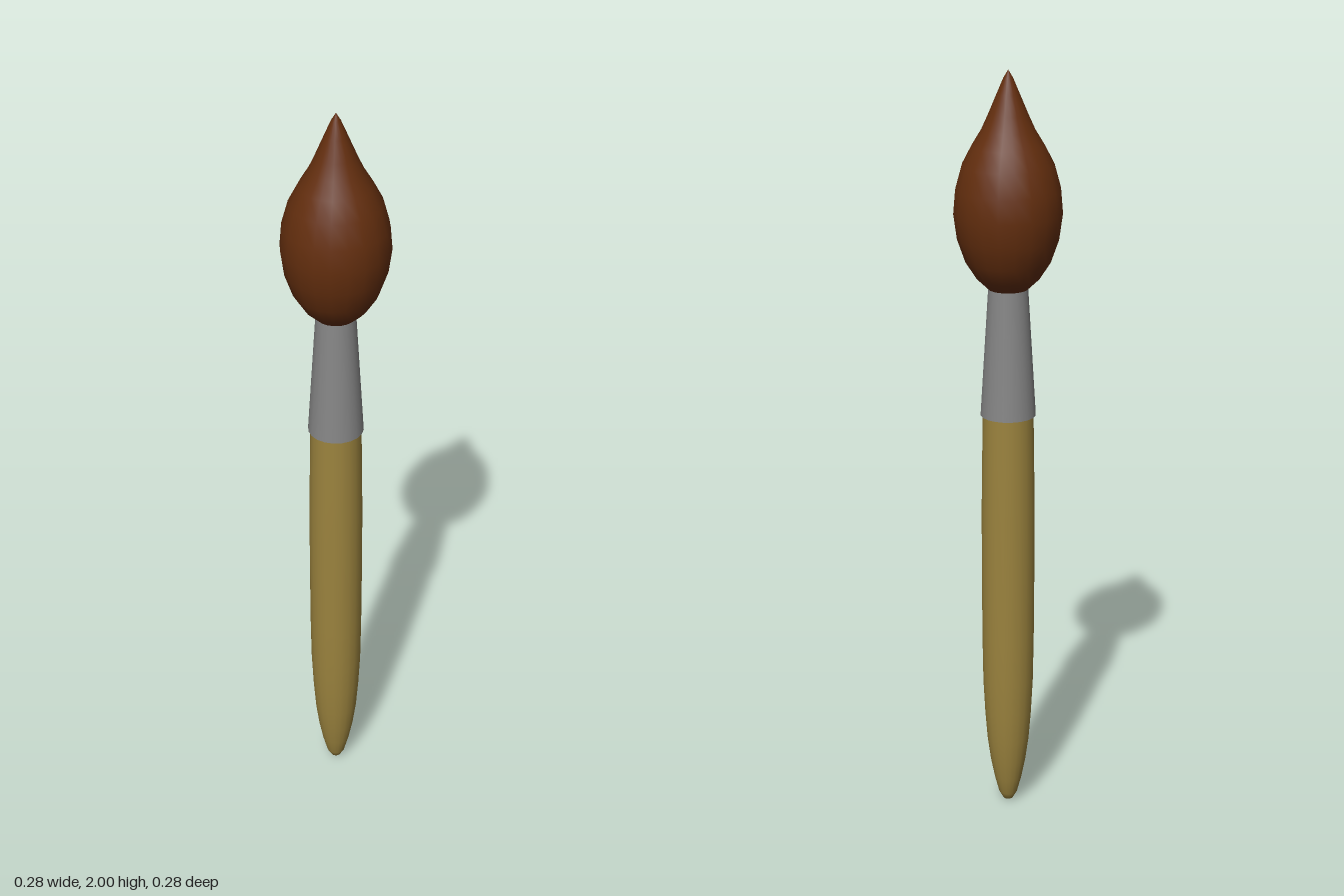
import * as THREE from 'three';

const SIDES = 20;

// Smooth turned part from [radius, height] pairs, listed bottom to top
function turned(name, profile, color) {
  const points = profile.map(([r, y]) => new THREE.Vector2(r, y));
  const mesh = new THREE.Mesh(
    new THREE.LatheGeometry(points, SIDES),
    new THREE.MeshStandardMaterial({ color })
  );
  mesh.name = name;
  return mesh;
}

export function createModel() {
  const brush = new THREE.Group();
  brush.name = 'paintbrush';

  // Wooden handle with a rounded, tapering end
  brush.add(turned('handle', [
    [0, 0], [0.013, 0.006], [0.024, 0.025], [0.036, 0.07], [0.047, 0.125],
    [0.056, 0.19], [0.062, 0.265], [0.067, 0.36], [0.069, 0.48], [0.07, 0.66],
    [0.07, 0.85], [0.068, 1.0], [0.066, 1.13],
  ], 0x9b833e));

  // Metal ferrule: tapered sleeve, slightly wider than the handle
  const ferrule = turned('ferrule', [[0.072, 1.107], [0.051, 1.45]], 0x868686);
  ferrule.material.side = THREE.DoubleSide;
  brush.add(ferrule);

  // Bristles: full belly drawn into a fine point
  brush.add(turned('bristles', [
    [0, 1.435], [0.048, 1.44], [0.08, 1.47], [0.109, 1.515], [0.13, 1.575],
    [0.139, 1.64], [0.134, 1.70], [0.117, 1.762], [0.092, 1.81],
    [0.068, 1.85], [0.05, 1.89], [0.029, 1.94], [0.012, 1.98], [0, 2],
  ], 0x632e0e));

  return brush;
}
